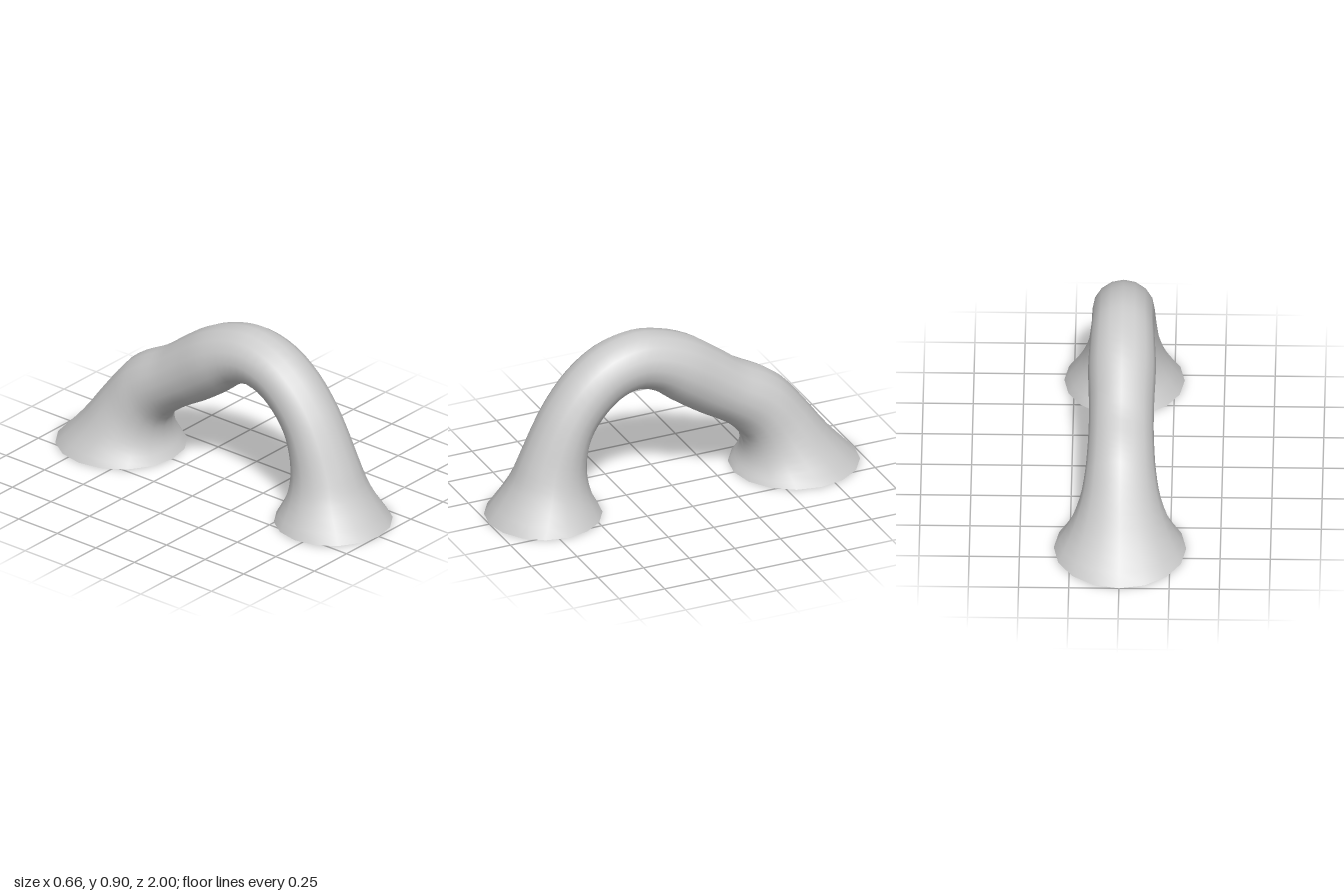
import * as THREE from 'three';

const SIDES = 16;
const STEPS = 48;

// Stations along the arch: outer edge (z, y), inner edge (z, y), half width in x
const STATIONS = [
  [1.0, 0, 0.41, 0, 0.30],
  [0.88, 0.175, 0.465, 0.11, 0.22],
  [0.82, 0.31, 0.485, 0.22, 0.182],
  [0.75, 0.46, 0.475, 0.33, 0.166],
  [0.67, 0.60, 0.44, 0.43, 0.158],
  [0.55, 0.745, 0.37, 0.52, 0.155],
  [0.39, 0.855, 0.29, 0.58, 0.154],
  [0.2, 0.90, 0.2, 0.60, 0.155],
  [0.04, 0.875, 0.12, 0.575, 0.162],
  [-0.11, 0.815, 0.01, 0.49, 0.169],
  [-0.25, 0.72, -0.13, 0.395, 0.163],
  [-0.37, 0.63, -0.25, 0.325, 0.162],
  [-0.5, 0.56, -0.335, 0.26, 0.168],
  [-0.6, 0.485, -0.385, 0.19, 0.178],
  [-0.72, 0.34, -0.395, 0.12, 0.202],
  [-0.85, 0.165, -0.38, 0.06, 0.255],
  [-1.0, 0, -0.34, 0, 0.33],
];

// Lofts 16-sided rings between the smoothed outer and inner edges
function archGeometry() {
  const edge = (pick) => new THREE.CatmullRomCurve3(STATIONS.map(pick));
  const outer = edge((s) => new THREE.Vector3(0, s[1], s[0]));
  const inner = edge((s) => new THREE.Vector3(0, s[3], s[2]));
  const width = edge((s, i) => new THREE.Vector3(s[4], i, 0));

  const positions = [];
  const index = [];
  for (let i = 0; i <= STEPS; i++) {
    const t = i / STEPS;
    const a = outer.getPoint(t);
    const b = inner.getPoint(t);
    const w = width.getPoint(t).x;
    const centre = a.clone().add(b).multiplyScalar(0.5);
    const radial = a.clone().sub(centre);
    for (let j = 0; j < SIDES; j++) {
      const angle = (j / SIDES) * Math.PI * 2;
      const c = Math.cos(angle);
      positions.push(w * Math.sin(angle), centre.y + radial.y * c, centre.z + radial.z * c);
      if (i < STEPS) {
        const p = i * SIDES + j;
        const q = i * SIDES + ((j + 1) % SIDES);
        index.push(p, q, p + SIDES, q, q + SIDES, p + SIDES);
      }
    }
  }

  const geometry = new THREE.BufferGeometry();
  geometry.setAttribute('position', new THREE.Float32BufferAttribute(positions, 3));
  geometry.setIndex(index);
  geometry.computeVertexNormals();
  return geometry;
}

export function createModel() {
  const model = new THREE.Group();
  model.name = 'archedTube';

  // Hollow tube, open at both flared feet
  const material = new THREE.MeshStandardMaterial({ color: 0xcccccc, side: THREE.DoubleSide });
  const arch = new THREE.Mesh(archGeometry(), material);
  arch.name = 'flaredArch';
  model.add(arch);

  return model;
}
